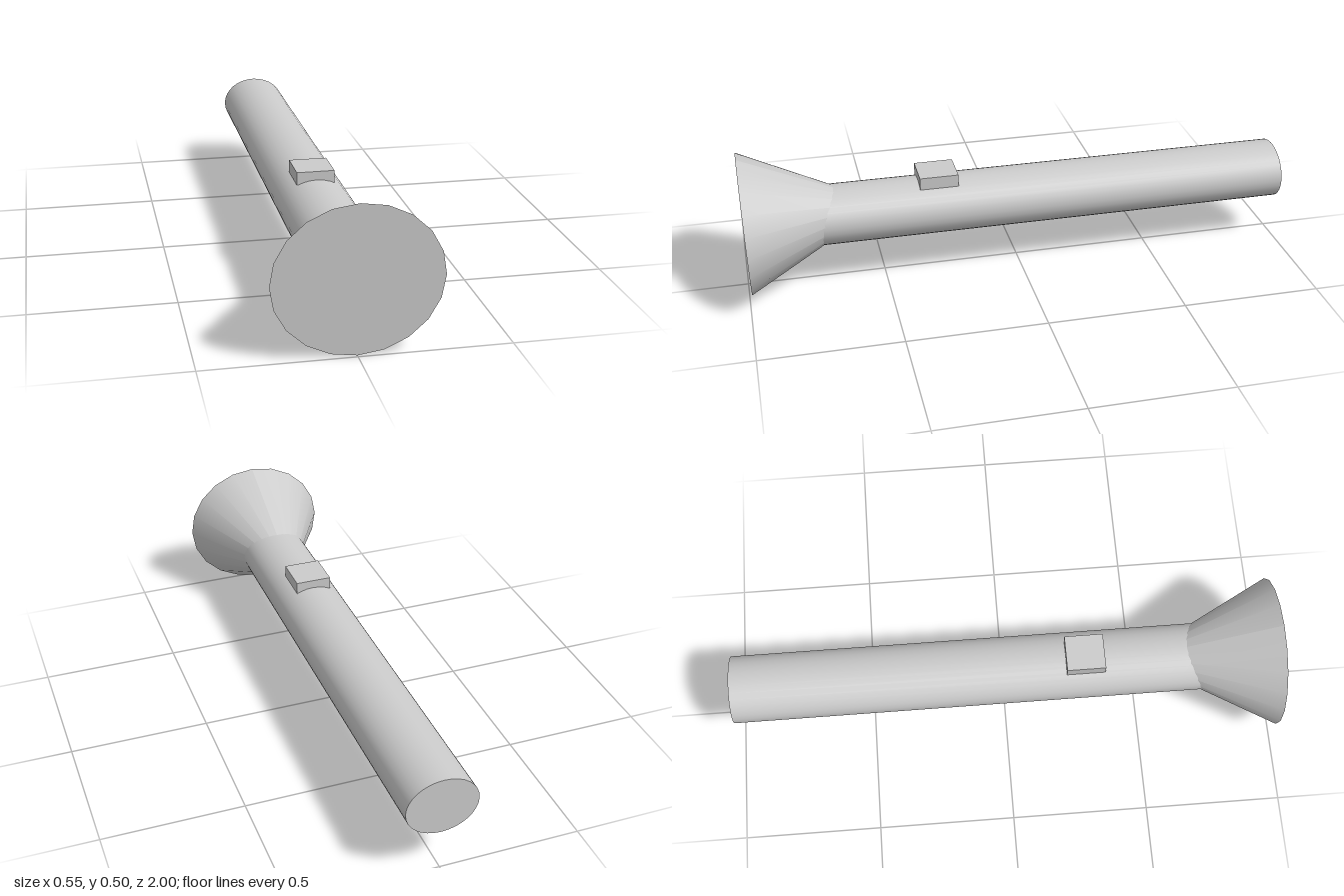
import * as THREE from 'three';

const AXIS_Y = 0.254;

export function createModel() {
  const model = new THREE.Group();
  const grey = new THREE.MeshStandardMaterial({ color: 0xcccccc });
  const add = (name, geometry) => {
    const mesh = new THREE.Mesh(geometry, grey);
    mesh.name = name;
    model.add(mesh);
    return mesh;
  };

  // Long handle with a slightly flattened round section
  const handle = new THREE.CylinderGeometry(1, 1, 1.9, 32);
  handle.rotateX(Math.PI / 2);
  handle.scale(0.126, 0.104, 1);
  handle.translate(0, AXIS_Y, -0.05);
  add('handle', handle);

  // Flared head: a cone whose tip is buried in the handle and sits a little high
  const baseZ = 0.995, length = 0.51;
  const head = new THREE.ConeGeometry(1, length, 20);
  head.rotateX(-Math.PI / 2); // tip towards the back
  head.scale(0.275, 0.251, 1);
  head.translate(0, 0, baseZ - length / 2);
  const p = head.attributes.position;
  for (let i = 0; i < p.count; i++) {
    const y = p.getY(i), z = p.getZ(i);
    p.setY(i, y + 0.253 + (baseZ - z) * 0.045); // lean the axis upward
    p.setZ(i, z + y * 0.02); // tip the front face slightly
  }
  head.computeVertexNormals();
  add('head', head);

  // Switch block on top
  const button = add('switchButton', new THREE.BoxGeometry(0.132, 0.045, 0.14));
  button.position.set(-0.003, 0.366, 0.296);

  return model;
}
